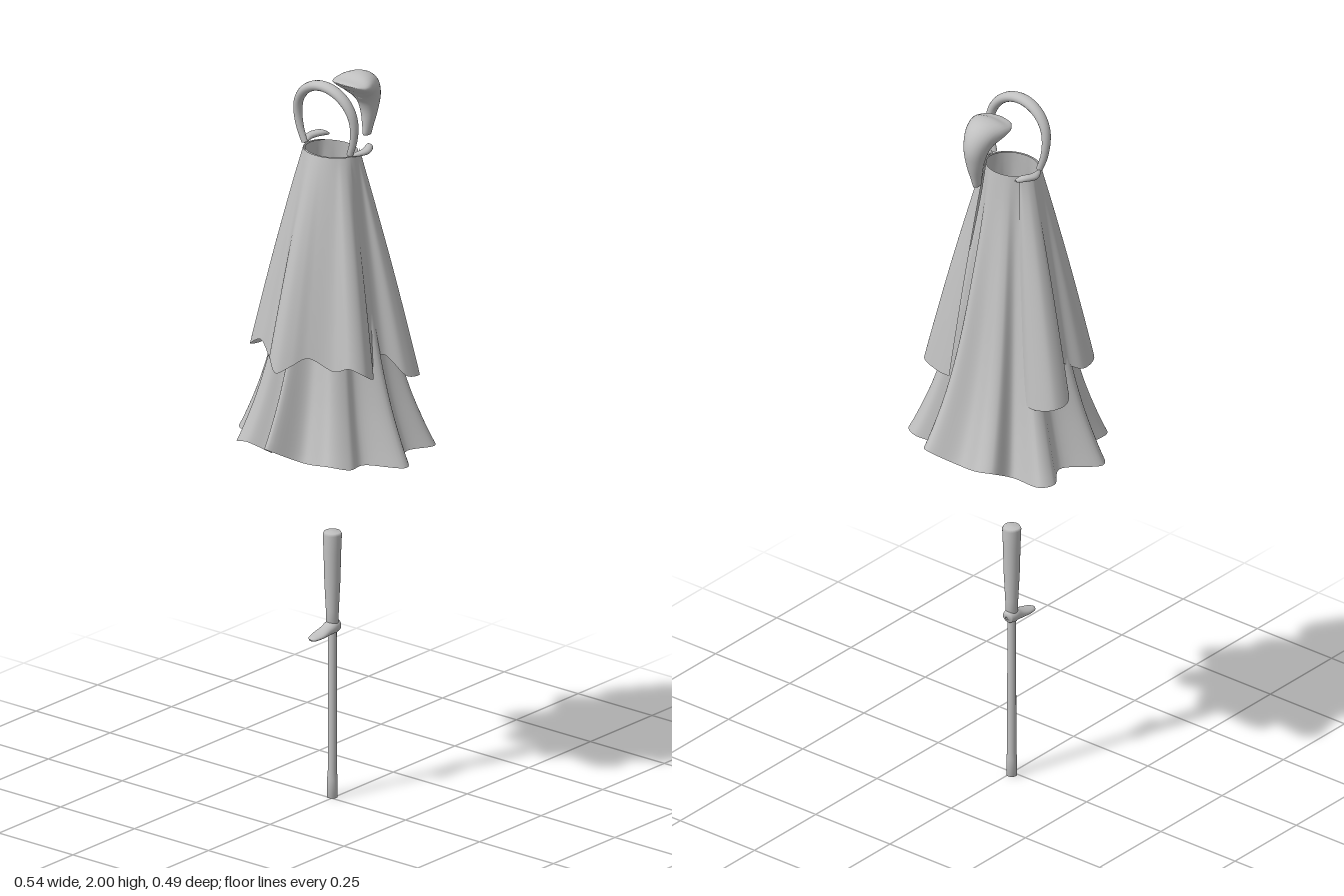
import * as THREE from 'three';

const V = (x, y, z) => new THREE.Vector3(x, y, z);
const lerp = THREE.MathUtils.lerp;

// Grid surface from a rule fn(u, v); u wraps around when closed
function surface(nu, nv, fn, closed) {
  const pos = [], idx = [], cols = closed ? nu : nu + 1;
  for (let j = 0; j <= nv; j++)
    for (let i = 0; i < cols; i++) pos.push(...fn(i / nu, j / nv).toArray());
  for (let j = 0; j < nv; j++)
    for (let i = 0; i < nu; i++) {
      const k = (i + 1) % cols;
      const a = j * cols + i, b = j * cols + k, c = a + cols, d = b + cols;
      idx.push(a, c, b, b, c, d);
    }
  const g = new THREE.BufferGeometry();
  g.setAttribute('position', new THREE.Float32BufferAttribute(pos, 3));
  g.setIndex(idx);
  g.computeVertexNormals();
  return g;
}

// Smooth value through [position, value] pairs
function ramp(pairs) {
  const c = new THREE.CatmullRomCurve3(pairs.map(([p, v]) => V(p, v, 0)));
  const pts = c.getPoints(120);
  return (t) => {
    let i = 1;
    while (i < pts.length - 1 && pts[i].x < t) i++;
    const a = pts[i - 1], b = pts[i];
    return lerp(a.y, b.y, THREE.MathUtils.clamp((t - a.x) / (b.x - a.x), 0, 1));
  };
}

// Draped cloth: blends an oval neckline into a wavy hem given as [x, z, y]
function drape(hemPoints, closed, neckX, neckZ, spread, nu) {
  const hem = new THREE.CatmullRomCurve3(hemPoints.map(([x, z, y]) => V(x, y, z)), closed);
  return surface(nu, 36, (u, v) => {
    const h = hem.getPoint(u);
    const a = Math.atan2(h.x, h.z);
    const s = spread(v);
    return V(lerp(Math.sin(a) * neckX, h.x, s), lerp(1.805, h.y, v), lerp(Math.cos(a) * neckZ, h.z, s));
  }, closed);
}

// Solid swept in the yz plane through sections [z, y, halfWidth, halfThickness]
function sweepYZ(sections) {
  const path = new THREE.CatmullRomCurve3(sections.map(([z, y]) => V(0, y, z)));
  const size = new THREE.CatmullRomCurve3(sections.map(([, , w, t]) => V(w, t, 0)));
  return surface(28, 40, (u, v) => {
    const p = path.getPoint(v), t = path.getTangent(v), s = size.getPoint(v);
    const a = u * Math.PI * 2;
    const n = V(0, t.z, -t.y);
    return p.addScaledVector(n, Math.sin(a) * s.y).add(V(Math.cos(a) * s.x, 0, 0));
  }, true);
}

export function createModel() {
  const group = new THREE.Group();
  const grey = new THREE.MeshStandardMaterial({ color: 0xc0c0c0, side: THREE.DoubleSide });
  grey.name = 'plain grey';
  const add = (name, geometry) => {
    const mesh = new THREE.Mesh(geometry, grey);
    mesh.name = name;
    group.add(mesh);
    return mesh;
  };

  // Long underskirt with nine folds
  const skirtHem = [
    [0.272, 0.02, 0.99], [0.21, -0.05, 1.0], [0.24, -0.13, 1.0], [0.2, -0.16, 1.0], [0.13, -0.145, 0.99],
    [0.115, -0.22, 1.02], [0.085, -0.247, 1.03], [0.0, -0.213, 1.0], [-0.08, -0.237, 1.02], [-0.115, -0.222, 1.02],
    [-0.135, -0.162, 0.99], [-0.235, -0.172, 1.0], [-0.253, -0.135, 1.0], [-0.21, -0.06, 1.0], [-0.272, 0.04, 0.99],
    [-0.245, 0.075, 0.99], [-0.19, 0.085, 1.0], [-0.18, 0.17, 1.0], [-0.135, 0.182, 1.01], [-0.07, 0.162, 0.99],
    [-0.02, 0.246, 1.035], [0.045, 0.168, 0.99], [0.145, 0.19, 1.01], [0.188, 0.15, 1.0], [0.19, 0.1, 1.0],
  ];
  const skirtSpread = ramp([[0, 0], [0.13, 0.07], [0.38, 0.25], [0.63, 0.46], [0.81, 0.67], [0.95, 0.9], [1, 1]]);
  add('underskirt', drape(skirtHem, true, 0.074, 0.06, skirtSpread, 216));

  // Shorter cape, open at the back
  const capeHem = [
    [-0.1, -0.09, 1.2], [-0.165, -0.125, 1.19], [-0.228, -0.108, 1.2], [-0.238, -0.06, 1.21], [-0.178, -0.012, 1.28],
    [-0.17, 0.02, 1.26], [-0.19, 0.06, 1.24], [-0.185, 0.11, 1.25], [-0.13, 0.13, 1.28], [-0.09, 0.143, 1.24],
    [-0.045, 0.198, 1.27], [-0.012, 0.214, 1.24], [0.022, 0.192, 1.26], [0.052, 0.16, 1.28], [0.115, 0.13, 1.25],
    [0.17, 0.132, 1.27], [0.2, 0.105, 1.25], [0.195, 0.065, 1.23], [0.165, 0.03, 1.25], [0.165, -0.01, 1.27],
    [0.213, -0.05, 1.21], [0.215, -0.1, 1.2], [0.155, -0.12, 1.19], [0.11, -0.125, 1.19],
  ];
  const capeSpread = ramp([[0, 0], [0.08, 0.09], [0.18, 0.2], [0.53, 0.56], [0.9, 0.91], [1, 1]]);
  add('cape', drape(capeHem, false, 0.08, 0.065, capeSpread, 200));

  // Collar rolls on both sides of the neck
  for (const [name, side] of [['leftCollar', 1], ['rightCollar', -1]]) {
    const path = new THREE.CatmullRomCurve3([
      V(0.07 * side, 1.81, -0.072), V(0.082 * side, 1.814, -0.055),
      V(0.093 * side, 1.812, -0.025), V(0.08 * side, 1.808, 0.015),
    ]);
    add(name, surface(16, 20, (u, v) => {
      const r = Math.sin(Math.PI * lerp(0.02, 0.98, v)) ** 0.5, a = u * Math.PI * 2;
      return path.getPoint(v).add(V(Math.cos(a) * 0.013 * r, Math.sin(a) * 0.009 * r, 0));
    }, true));
  }

  // Head hoop, thicker at the crown and leaning forward
  const hoopPoints = [V(0.076, 1.81, 0.018), V(0.09, 1.85, 0.02)];
  for (let i = 0; i <= 8; i++) {
    const a = (i / 8) * Math.PI;
    hoopPoints.push(V(Math.cos(a) * 0.095, 1.895 + Math.sin(a) * 0.092, 0.023 + Math.sin(a) * 0.01));
  }
  hoopPoints.push(V(-0.09, 1.85, 0.02), V(-0.076, 1.81, 0.018));
  const hoop = new THREE.CatmullRomCurve3(hoopPoints);
  add('headHoop', surface(16, 72, (u, v) => {
    const a = u * Math.PI * 2, k = Math.sin(Math.PI * v), t = hoop.getTangent(v);
    const out = V(t.y, -t.x, 0).normalize();
    return hoop.getPoint(v).addScaledVector(out, Math.cos(a) * lerp(0.009, 0.0135, k))
      .add(V(0, 0, Math.sin(a) * lerp(0.007, 0.017, k)));
  }, true));

  // Curled tail of hair behind the hoop
  add('hairTail', sweepYZ([
    [-0.046, 1.967, 0.004, 0.001], [-0.054, 1.966, 0.04, 0.006], [-0.075, 1.961, 0.057, 0.017],
    [-0.1, 1.957, 0.056, 0.031], [-0.128, 1.945, 0.046, 0.038], [-0.147, 1.915, 0.034, 0.035],
    [-0.152, 1.875, 0.024, 0.025], [-0.147, 1.83, 0.014, 0.017], [-0.143, 1.803, 0.008, 0.013], [-0.143, 1.802, 0.001, 0.001],
  ]));

  // Lower leg and the thin peg beneath it
  const lathe = (name, pts) => {
    const mesh = add(name, new THREE.LatheGeometry(pts.map(([r, y]) => new THREE.Vector2(r, y)), 24));
    mesh.position.set(-0.006, 0, -0.01);
  };
  lathe('lowerLeg', [[0, 0.46], [0.015, 0.46], [0.017, 0.52], [0.021, 0.6], [0.023, 0.68], [0.025, 0.73], [0.022, 0.737], [0, 0.738]]);
  lathe('peg', [[0, 0], [0.014, 0], [0.014, 0.05], [0.012, 0.07], [0.0115, 0.46], [0, 0.46]]);

  // Pointed foot, flat underneath
  const foot = add('foot', sweepYZ([
    [-0.031, 0.472, 0.004, 0.004], [-0.027, 0.473, 0.016, 0.016], [-0.008, 0.474, 0.02, 0.018],
    [0.015, 0.469, 0.019, 0.014], [0.045, 0.464, 0.02, 0.009], [0.07, 0.461, 0.014, 0.006], [0.08, 0.46, 0.003, 0.002],
  ]));
  foot.position.x = -0.006;

  return group;
}
